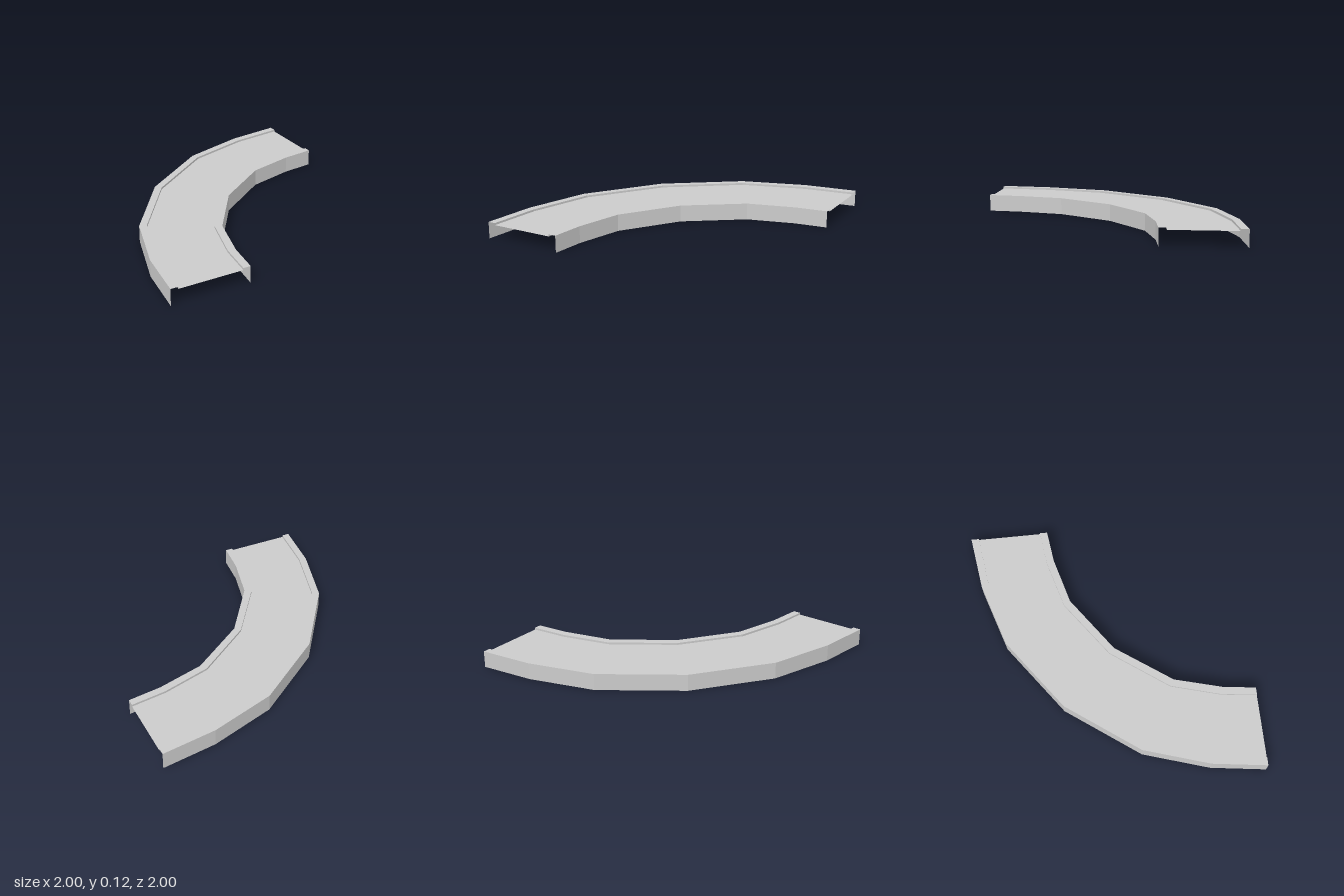
import * as THREE from 'three';

const TOP = 0.125, ROAD = 0.11;

// Half of each plan line as [x, z]; the last point lies on the x = z mirror line
const mirrored = half => [...half, ...half.slice(0, -1).reverse().map(([x, z]) => [z, x])];
const outerEdge = mirrored([[-1, 1], [-0.946, 0.6], [-0.795, 0.12], [-0.41, -0.41]]);
const outerKerb = mirrored([[-0.944, 1], [-0.893, 0.615], [-0.747, 0.143], [-0.372, -0.372]]);
const innerKerb = mirrored([[-0.47, 1], [-0.438, 0.74], [-0.337, 0.38], [-0.037, -0.037]]);
const innerEdge = mirrored([[-0.415, 1], [-0.384, 0.757], [-0.29, 0.41], [0, 0]]);

// Cross-section from the outer foot to the inner foot: plan line and height
const section = [
  [outerEdge, 0], [outerEdge, TOP], [outerKerb, TOP], [outerKerb, ROAD],
  [innerKerb, ROAD], [innerKerb, TOP], [innerEdge, TOP], [innerEdge, 0],
];
const names = ['outerWall', 'outerKerbTop', 'outerKerbStep', 'roadSurface',
  'innerKerbStep', 'innerKerbTop', 'innerWall'];

// Faceted band between two neighbouring lines of the section
function band([lineA, yA], [lineB, yB]) {
  const positions = [];
  for (let i = 0; i < lineA.length - 1; i++) {
    const a = [lineA[i][0], yA, lineA[i][1]];
    const b = [lineB[i][0], yB, lineB[i][1]];
    const c = [lineB[i + 1][0], yB, lineB[i + 1][1]];
    const d = [lineA[i + 1][0], yA, lineA[i + 1][1]];
    positions.push(...a, ...b, ...d, ...b, ...c, ...d);
  }
  const geometry = new THREE.BufferGeometry();
  geometry.setAttribute('position', new THREE.Float32BufferAttribute(positions, 3));
  geometry.computeVertexNormals();
  return geometry;
}

export function createModel() {
  const group = new THREE.Group();
  group.name = 'curvedRoad';
  // Open shell without a floor or end caps
  const material = new THREE.MeshStandardMaterial({
    color: 0xcccccc, flatShading: true, side: THREE.DoubleSide,
  });
  names.forEach((name, i) => {
    const mesh = new THREE.Mesh(band(section[i], section[i + 1]), material);
    mesh.name = name;
    group.add(mesh);
  });
  return group;
}
